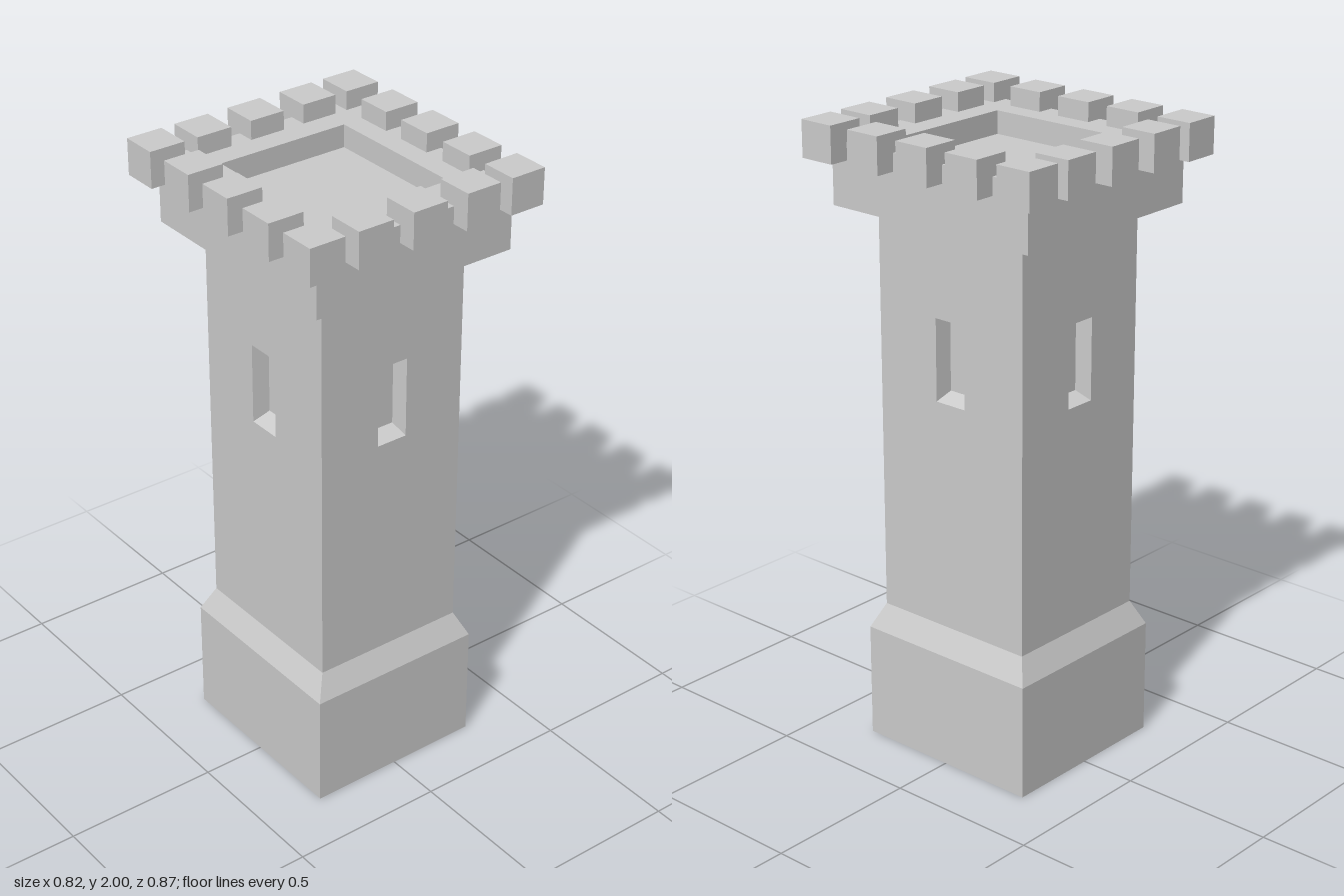
import * as THREE from 'three';

const stone = new THREE.MeshStandardMaterial({ color: 0xcccccc, flatShading: true });

// Skin a run of rectangles [halfX, halfZ, y]; a zero-size rectangle closes an end.
function rectLoft(profile) {
  const corners = [[1, 1], [1, -1], [-1, -1], [-1, 1]];
  const pos = [];
  const at = ([hx, hz, y], i) => [corners[i % 4][0] * hx, y, corners[i % 4][1] * hz];
  for (let k = 0; k < profile.length - 1; k++) {
    const low = profile[k], high = profile[k + 1];
    for (let i = 0; i < 4; i++) {
      const a = at(low, i), b = at(low, i + 1), c = at(high, i + 1), d = at(high, i);
      if (low[0] > 0) pos.push(...a, ...b, ...c);
      if (high[0] > 0) pos.push(...a, ...c, ...d);
    }
  }
  const g = new THREE.BufferGeometry();
  g.setAttribute('position', new THREE.Float32BufferAttribute(pos, 3));
  g.computeVertexNormals();
  return g;
}

function addMesh(parent, name, geometry) {
  const mesh = new THREE.Mesh(geometry, stone);
  mesh.name = name;
  parent.add(mesh);
  return mesh;
}

const SHAFT_X = 0.257, SHAFT_Z = 0.28;
const SHAFT_BOTTOM = 0.45, SHAFT_TOP = 1.74;
const WINDOW_Y = 1.31, WINDOW_HALF_H = 0.13;

// One shaft wall facing +z, with a splayed blind window.
function makeWall(halfWidth, windowHalfW) {
  const wall = new THREE.Group();
  const rect = (target, w, y0, y1) => target
    .moveTo(-w, y0).lineTo(w, y0).lineTo(w, y1).lineTo(-w, y1).closePath();
  const shape = rect(new THREE.Shape(), halfWidth, SHAFT_BOTTOM, SHAFT_TOP);
  shape.holes.push(rect(new THREE.Path(), windowHalfW, WINDOW_Y - WINDOW_HALF_H, WINDOW_Y + WINDOW_HALF_H));
  addMesh(wall, 'wallFace', new THREE.ShapeGeometry(shape));

  const niche = rectLoft([
    [windowHalfW, WINDOW_HALF_H, 0],
    [windowHalfW - 0.007, WINDOW_HALF_H - 0.021, -0.055],
    [0, 0, -0.055],
  ]).rotateX(Math.PI / 2);
  addMesh(wall, 'windowNiche', niche).position.y = WINDOW_Y;
  return wall;
}

export function createModel() {
  const tower = new THREE.Group();
  tower.name = 'tower';

  // Plinth with sloped shoulder
  addMesh(tower, 'plinth', rectLoft([
    [0, 0, 0], [0.295, 0.317, 0], [0.295, 0.317, 0.37], [SHAFT_X, SHAFT_Z, SHAFT_BOTTOM],
  ]));

  // Four shaft walls
  ['front', 'left', 'back', 'right'].forEach((side, i) => {
    const onX = i % 2 === 1;
    const wall = onX ? makeWall(SHAFT_Z, 0.056) : makeWall(SHAFT_X, 0.052);
    const distance = onX ? SHAFT_X : SHAFT_Z;
    const angle = i * Math.PI / 2;
    wall.name = side + 'Wall';
    wall.rotation.y = angle;
    wall.position.set(Math.sin(angle) * distance, 0, Math.cos(angle) * distance);
    tower.add(wall);
  });

  // Overhanging platform with a sunken floor
  addMesh(tower, 'platform', rectLoft([
    [0, 0, SHAFT_TOP], [0.346, 0.376, SHAFT_TOP], [0.346, 0.376, 1.94],
    [0.222, 0.24, 1.94], [0.222, 0.24, 1.867], [0, 0, 1.867],
  ]));

  // Merlons around the platform edge
  const battlements = new THREE.Group();
  battlements.name = 'battlements';
  tower.add(battlements);
  const merlon = new THREE.BoxGeometry(0.118, 0.115, 0.118);
  const xs = [-0.351, -0.188, 0, 0.19, 0.351];
  const zs = [-0.377, -0.188, 0, 0.19, 0.375];
  xs.forEach((x, i) => zs.forEach((z, j) => {
    if (i % 4 && j % 4) return; // skip the interior
    addMesh(battlements, 'merlon', merlon).position.set(x, 1.9425, z);
  }));

  return tower;
}
